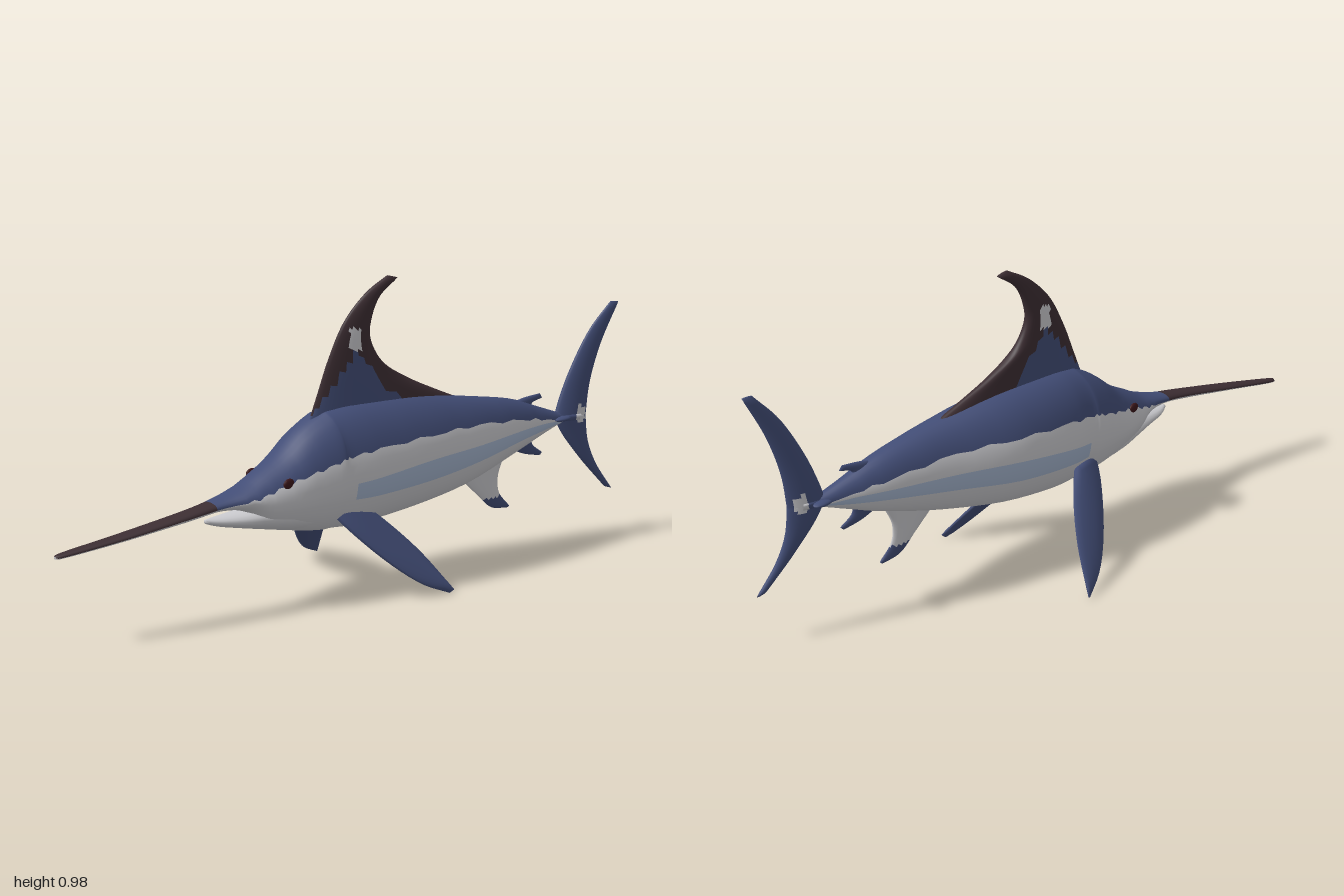
import * as THREE from 'three';

const mat = (name, color) => Object.assign(new THREE.MeshStandardMaterial({ color }), { name });

// Body stations: z, spine x, half width, top y, bottom y, back colour edge y, stripe top y, stripe bottom y
const STATIONS = [
  [1.0, -0.174, 0.006, 0.294, 0.284, 0.288, 0.287, 0.286],
  [0.97, -0.167, 0.016, 0.301, 0.285, 0.291, 0.289, 0.287],
  [0.8, -0.115, 0.026, 0.329, 0.308, 0.317, 0.314, 0.311],
  [0.6, -0.063, 0.031, 0.364, 0.335, 0.348, 0.343, 0.339],
  [0.5, -0.045, 0.038, 0.383, 0.347, 0.362, 0.357, 0.352],
  [0.42, -0.024, 0.064, 0.408, 0.335, 0.377, 0.362, 0.35],
  [0.36, -0.016, 0.082, 0.44, 0.28, 0.395, 0.36, 0.335],
  [0.28, -0.008, 0.1, 0.485, 0.25, 0.42, 0.36, 0.33],
  [0.2, 0.0, 0.113, 0.55, 0.23, 0.442, 0.365, 0.33],
  [0.13, 0.01, 0.124, 0.59, 0.22, 0.462, 0.375, 0.33],
  [0.1, 0.015, 0.121, 0.6, 0.22, 0.467, 0.38, 0.33],
  [0.0, 0.03, 0.133, 0.61, 0.215, 0.48, 0.39, 0.33],
  [-0.2, 0.067, 0.133, 0.605, 0.235, 0.49, 0.415, 0.345],
  [-0.4, 0.117, 0.101, 0.57, 0.275, 0.49, 0.425, 0.37],
  [-0.6, 0.152, 0.067, 0.532, 0.34, 0.47, 0.435, 0.4],
  [-0.72, 0.18, 0.04, 0.488, 0.388, 0.45, 0.437, 0.415],
  [-0.8, 0.203, 0.022, 0.458, 0.42, 0.435, 0.432, 0.428],
  [-0.85, 0.225, 0.008, 0.448, 0.43, 0.435, 0.434, 0.433],
];

// Side-to-side curve of the spine, carried on through the tail
const SPINE = [...STATIONS.map(s => [s[0], s[1]]), [-1, 0.285]];
function spineX(z) {
  for (let i = 1; i < SPINE.length; i++) {
    const [z0, x0] = SPINE[i - 1], [z1, x1] = SPINE[i];
    if (z >= z1) return THREE.MathUtils.mapLinear(z, z0, z1, x0, x1);
  }
  return 0.285;
}

// Smooth in-between stations
function refine(rows, steps) {
  const out = [], n = rows.length;
  for (let i = 0; i < n - 1; i++) {
    const [a, b, c, d] = [rows[Math.max(i - 1, 0)], rows[i], rows[i + 1], rows[Math.min(i + 2, n - 1)]];
    for (let k = 0; k < steps; k++) {
      const t = k / steps;
      out.push(b.map((v, j) => v + 0.5 * t * (c[j] - a[j]
        + t * (2 * a[j] - 5 * v + 4 * c[j] - d[j] + t * (3 * (v - c[j]) + d[j] - a[j])))));
    }
  }
  return [...out, rows[n - 1]];
}

// Closed loft through rings of points; pick(i, j, centre) gives a material index per quad
function loft(name, rings, materials, pick) {
  const n = rings[0].length, pts = rings.flat(), faces = materials.map(() => []);
  const centre = ids => ids.reduce((v, k) => v.add(pts[k]), new THREE.Vector3()).divideScalar(ids.length);
  for (let i = 0; i < rings.length - 1; i++) for (let j = 0; j < n; j++) {
    const a = i * n + j, b = i * n + (j + 1) % n, c = a + n, d = b + n;
    faces[pick(i, j, centre([a, b, c, d]))].push([a, b, c], [b, d, c]);
  }
  const last = (rings.length - 1) * n;
  for (let j = 1; j < n - 1; j++) {
    faces[pick(0, j, pts[0])].push([0, j + 1, j]);
    faces[pick(rings.length - 2, j, pts[last])].push([last, last + j, last + j + 1]);
  }
  // Turn all faces outward
  const volume = faces.flat().reduce((s, [a, b, c]) => s + pts[a].dot(pts[b].clone().cross(pts[c])), 0);
  const geo = new THREE.BufferGeometry().setFromPoints(pts), index = [];
  faces.forEach((list, m) => {
    if (list.length) geo.addGroup(index.length, list.length * 3, m);
    list.forEach(([a, b, c]) => index.push(...(volume < 0 ? [a, c, b] : [a, b, c])));
  });
  geo.setIndex(index);
  geo.computeVertexNormals();
  const mesh = new THREE.Mesh(geo, materials);
  mesh.name = name;
  return mesh;
}

// Fin with a lens section between a leading and a trailing edge
function fin(name, lead, trail, thick, materials, pick = () => 0, spans = 16, around = 14) {
  const curve = list => new THREE.CatmullRomCurve3(list.map(p =>
    p.length === 3 ? new THREE.Vector3(...p) : new THREE.Vector3(spineX(p[0]), p[1], p[0])));
  const A = curve(lead), B = curve(trail), rings = [];
  const normal = B.getPointAt(0.5).sub(A.getPointAt(0.5))
    .cross(A.getPointAt(1).sub(A.getPointAt(0))).normalize();
  for (let i = 0; i <= spans; i++) {
    const s = i / spans, a = A.getPointAt(s), b = B.getPointAt(s);
    const t = thick * (1 - 0.65 * s) * (i === spans ? 0.5 : 1);
    rings.push(Array.from({ length: around }, (_, j) => {
      const f = j / around * Math.PI * 2;
      return a.clone().lerp(b, (1 - Math.cos(f)) / 2).addScaledVector(normal, t * Math.sin(f));
    }));
  }
  return loft(name, rings, materials, (i, j, p) => pick(p));
}

export function createModel() {
  const g = new THREE.Group();
  g.name = 'swordfish';
  const navy = mat('navy', 0x424d76), pale = mat('paleGrey', 0xcbcbcf);
  const sky = mat('paleBlue', 0xa6b6cf), brown = mat('darkBrown', 0x3d2e33), red = mat('eyeRed', 0x3c171a);

  // Body and bill: rows follow the colour edges from back to belly
  const rows = refine(STATIONS, 4), bands = [6, 3, 3, 6], half = 18;
  const rings = rows.map(([z, cx, w, top, bottom, ...edges], k) => {
    const cy = (top + bottom) / 2, h = (top - bottom) / 2;
    edges[0] += z < 0.45 && z > -0.7 ? 0.005 * Math.sin(k * 2.3) : 0;
    const stops = [Math.PI / 2, ...edges.map(y => Math.asin(THREE.MathUtils.clamp((y - cy) / h, -0.97, 0.97))), -Math.PI / 2];
    const angles = [];
    bands.forEach((n, b) => {
      for (let q = 0; q < n; q++) angles.push(THREE.MathUtils.lerp(stops[b], stops[b + 1], q / n));
    });
    angles.push(-Math.PI / 2);
    const side = (a, s) => new THREE.Vector3(cx + s * w * Math.cos(a), cy + h * Math.sin(a), z);
    return [...angles.map(a => side(a, 1)), ...angles.slice(1, -1).reverse().map(a => side(a, -1))];
  });
  g.add(loft('body', rings, [navy, pale, sky, brown], (i, j, p) => {
    const q = j < half ? j : 2 * half - 1 - j;
    if (q < 6) return p.z > 0.52 ? 3 : 0;
    return q >= 9 && q < 12 && p.z < 0.08 ? 2 : 1;
  }));

  // Lower jaw: z, x, half width, top y, bottom y
  const jaw = refine([
    [0.54, -0.048, 0.006, 0.328, 0.315], [0.5, -0.042, 0.026, 0.33, 0.3], [0.43, -0.026, 0.048, 0.336, 0.284],
    [0.36, -0.016, 0.066, 0.345, 0.268], [0.28, -0.008, 0.08, 0.35, 0.25], [0.2, 0, 0.08, 0.34, 0.24],
  ], 3);
  g.add(loft('lowerJaw', jaw.map(([z, x, w, t, b]) => Array.from({ length: 16 }, (_, j) => {
    const a = j / 8 * Math.PI;
    return new THREE.Vector3(x + w * Math.cos(a), (t + b) / 2 + (t - b) / 2 * Math.sin(a), z);
  })), [pale], () => 0));

  // Eyes and tail keels
  const blob = (name, m, pos, scale) => {
    const b = new THREE.Mesh(new THREE.SphereGeometry(1, 16, 12), m);
    b.name = name;
    b.position.set(...pos);
    b.scale.set(...scale);
    g.add(b);
  };
  for (const [side, s] of [['left', 1], ['right', -1]]) {
    blob(side + 'Eye', red, [-0.012 + s * 0.083, 0.415, 0.31], [0.008, 0.016, 0.021]);
    blob(side + 'TailKeel', navy, [0.205 + s * 0.018, 0.44, -0.8], [0.019, 0.009, 0.04]);
  }

  // Tall dorsal fin with a navy base and a small pale mark
  g.add(fin('dorsalFin',
    [[0.17, 0.55], [0.13, 0.65], [0.09, 0.75], [0.03, 0.86], [-0.05, 0.94], [-0.13, 0.987]],
    [[-0.48, 0.53], [-0.32, 0.6], [-0.2, 0.66], [-0.11, 0.72], [-0.065, 0.8], [-0.07, 0.86], [-0.1, 0.925], [-0.168, 0.977]],
    0.032, [brown, navy, pale], p => {
      if (Math.abs(p.z) < 0.02 && p.y > 0.77 && p.y < 0.84) return 2;
      return p.y < 0.77 - 1.2 * Math.abs(p.z) ? 1 : 0;
    }, 44, 36));

  // Crescent tail
  const tailMark = p => (Math.hypot((p.z + 0.863) / 0.022, (p.y - 0.447) / 0.032) < 1 ? 1 : 0);
  g.add(fin('upperTailFin', [[-0.78, 0.43], [-0.8, 0.5], [-0.835, 0.6], [-0.9, 0.73], [-0.97, 0.818]],
    [[-0.893, 0.43], [-0.905, 0.55], [-0.94, 0.68], [-0.998, 0.815]], 0.02, [navy, pale], tailMark, 30, 24));
  g.add(fin('lowerTailFin', [[-0.78, 0.45], [-0.81, 0.39], [-0.88, 0.29], [-0.97, 0.182]],
    [[-0.893, 0.45], [-0.905, 0.35], [-0.935, 0.27], [-0.996, 0.173]], 0.02, [navy, pale], tailMark, 30, 24));

  // Swept pectoral fins
  for (const [side, s] of [['left', 1], ['right', -1]]) {
    const flip = list => list.map(([x, y, z]) => [s * x, y, z]);
    g.add(fin(side + 'PectoralFin',
      flip([[0.06, 0.31, 0.15], [0.115, 0.245, 0.115], [0.205, 0.13, 0.02], [0.265, 0.05, -0.075], [0.297, 0.008, -0.165]]),
      flip([[0.08, 0.31, 0.03], [0.135, 0.235, -0.045], [0.213, 0.135, -0.12], [0.304, 0.018, -0.178]]),
      0.02, [navy]));
  }

  // Anal fin and the two finlets before the tail
  g.add(fin('analFin', [[-0.4, 0.3], [-0.48, 0.225], [-0.54, 0.172], [-0.605, 0.16]],
    [[-0.6, 0.36], [-0.565, 0.28], [-0.57, 0.22], [-0.613, 0.166]], 0.016,
    [pale, navy], p => (p.y < 0.208 ? 1 : 0), 20));
  g.add(fin('rearDorsalFinlet', [[-0.6, 0.51], [-0.66, 0.525], [-0.725, 0.532]],
    [[-0.7, 0.48], [-0.695, 0.502], [-0.735, 0.516]], 0.012, [navy]));
  g.add(fin('rearAnalFinlet', [[-0.62, 0.355], [-0.67, 0.334], [-0.73, 0.32]],
    [[-0.7, 0.4], [-0.7, 0.365], [-0.74, 0.33]], 0.012, [navy]));
  return g;
}
